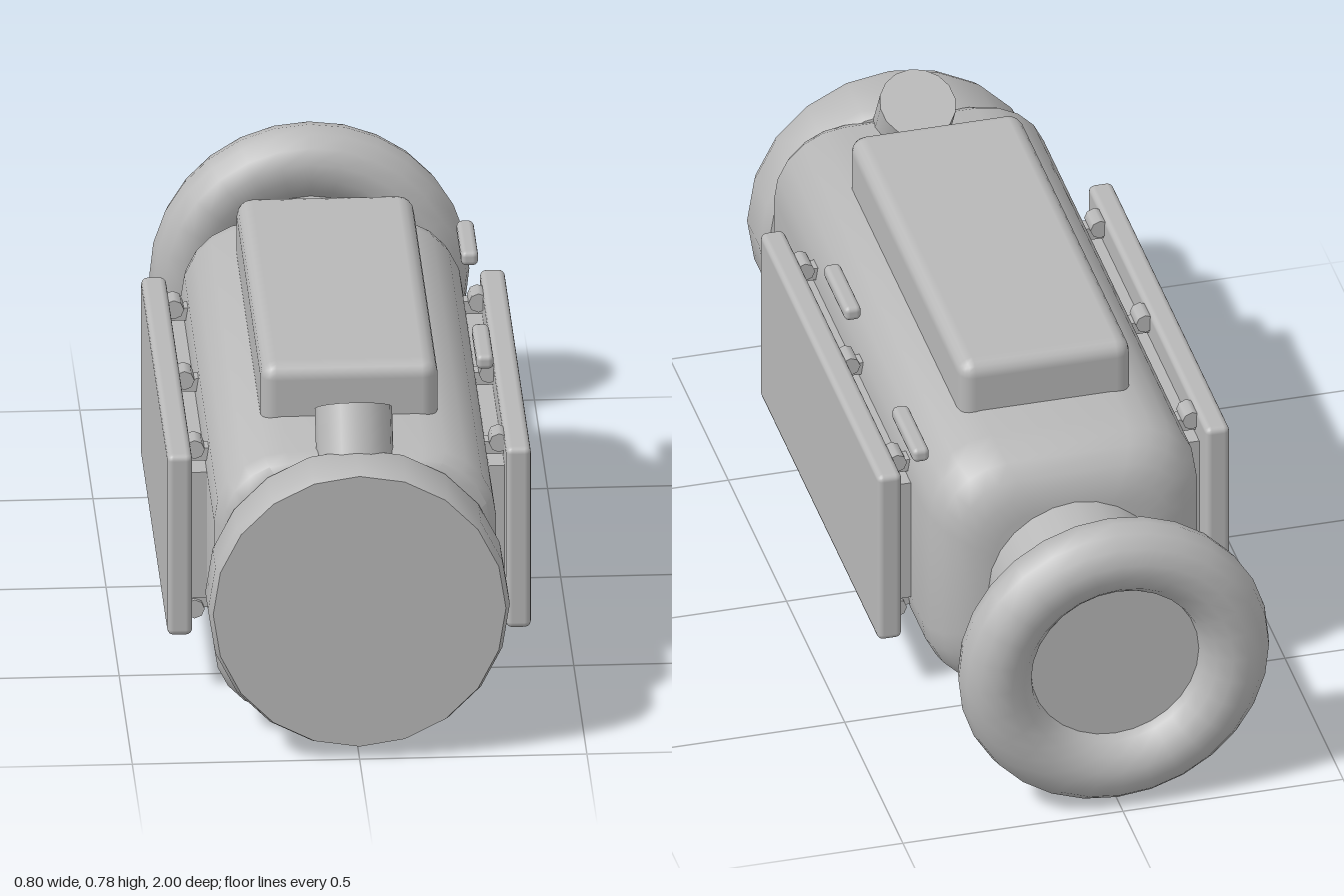
import * as THREE from 'three';
import { toCreasedNormals } from 'three/addons/utils/BufferGeometryUtils.js';
import { RoundedBoxGeometry } from 'three/addons/geometries/RoundedBoxGeometry.js';

const CY = 0.355; // height of the long axis

// Rounded-square cross-sections [z, inset] joined along z, with closed ends
function roundedHull(sections, half, radius, seg) {
  const pos = [], idx = [], n = 4 * (seg + 1);
  for (const [z, inset] of sections) {
    const r = Math.max(radius - inset * 0.5, 0.03), c = half - inset - r;
    for (let q = 0; q < 4; q++) {
      const sx = q === 0 || q === 3 ? 1 : -1, sy = q < 2 ? 1 : -1;
      for (let k = 0; k <= seg; k++) {
        const a = (q + k / seg) * Math.PI / 2;
        pos.push(sx * c + r * Math.cos(a), sy * c + r * Math.sin(a), z);
      }
    }
  }
  const last = sections.length - 1, back = pos.length / 3, front = back + 1;
  pos.push(0, 0, sections[0][0], 0, 0, sections[last][0]);
  for (let j = 0; j < n; j++) {
    const k = (j + 1) % n;
    for (let i = 0; i < last; i++) {
      const a = i * n + j, b = i * n + k;
      idx.push(a, b, b + n, a, b + n, a + n);
    }
    idx.push(back, k, j, front, last * n + j, last * n + k);
  }
  const g = new THREE.BufferGeometry();
  g.setAttribute('position', new THREE.Float32BufferAttribute(pos, 3));
  g.setIndex(idx);
  return toCreasedNormals(g, 0.7);
}

export function createModel() {
  const model = new THREE.Group();
  const grey = new THREE.MeshStandardMaterial({ color: 0xb8b8b8 });
  grey.name = 'grey';

  function add(name, geometry, x, y, z, parent = model) {
    const m = new THREE.Mesh(geometry, grey);
    m.name = name;
    m.position.set(x, y, z);
    parent.add(m);
    return m;
  }

  // Main body, softer at the back than at the front
  const sections = [];
  for (let i = 0; i <= 5; i++) {
    const a = i / 5 * Math.PI / 2;
    sections.push([-0.585 + 0.14 * (1 - Math.cos(a)), 0.13 * (1 - Math.sin(a))]);
  }
  sections.push([0.825, 0], [0.855, 0.015], [0.87, 0.045]);
  add('body', roundedHull(sections, 0.31, 0.16, 5), 0, CY, 0);

  // Front cap with a rounded rim
  const capProfile = [[0, 0.82], [0.29, 0.835], [0.32, 0.845], [0.332, 0.87],
    [0.332, 0.975], [0.322, 1.0], [0, 1.0]].map(p => new THREE.Vector2(...p));
  const cap = toCreasedNormals(new THREE.LatheGeometry(capProfile, 20), 0.7);
  add('frontCap', cap.rotateX(Math.PI / 2), 0, CY, 0);

  // Rear neck and ring
  const neck = new THREE.CylinderGeometry(0.195, 0.195, 0.39, 24).rotateX(Math.PI / 2);
  add('neck', neck, 0, CY, -0.735);
  add('rearRing', new THREE.TorusGeometry(0.27, 0.082, 14, 28), 0, CY, -0.918);

  // Roof block
  add('roofBlock', new RoundedBoxGeometry(0.39, 0.16, 0.97, 2, 0.035), 0, 0.705, 0.14);

  // Slanted pipe stub on top, leaning backwards
  const stub = new THREE.CylinderGeometry(0.085, 0.085, 0.24, 16).translate(0, -0.12, 0);
  add('pipeStub', stub, 0, 0.742, 0.763).rotation.x = -Math.PI / 6;

  // Side panels with their backing plates and hinges
  for (const s of [-1, 1]) {
    const side = new THREE.Group();
    side.name = s > 0 ? 'leftPanel' : 'rightPanel';
    model.add(side);
    add('panel', new RoundedBoxGeometry(0.055, 0.43, 1.02, 2, 0.014), s * 0.3725, CY, 0.1, side);
    add('backingPlate', new THREE.BoxGeometry(0.05, 0.3, 0.9), s * 0.32, CY, 0.1, side);
    for (const z of [-0.3, 0.1, 0.49]) {
      for (const y of [0.165, 0.545]) {
        const knuckle = new THREE.CylinderGeometry(0.022, 0.022, 0.055, 8).rotateX(Math.PI / 2);
        add('hinge', knuckle, s * 0.335, y, z, side);
        add('hingeArm', new THREE.BoxGeometry(0.06, 0.03, 0.035), s * 0.315, y + (y > CY ? -0.015 : 0.015), z, side);
      }
    }
  }

  // Two small rods on the left side only
  for (const z of [-0.37, 0.215]) {
    add('rod', new RoundedBoxGeometry(0.038, 0.034, 0.19, 2, 0.012), 0.316, 0.648, z);
  }

  return model;
}
